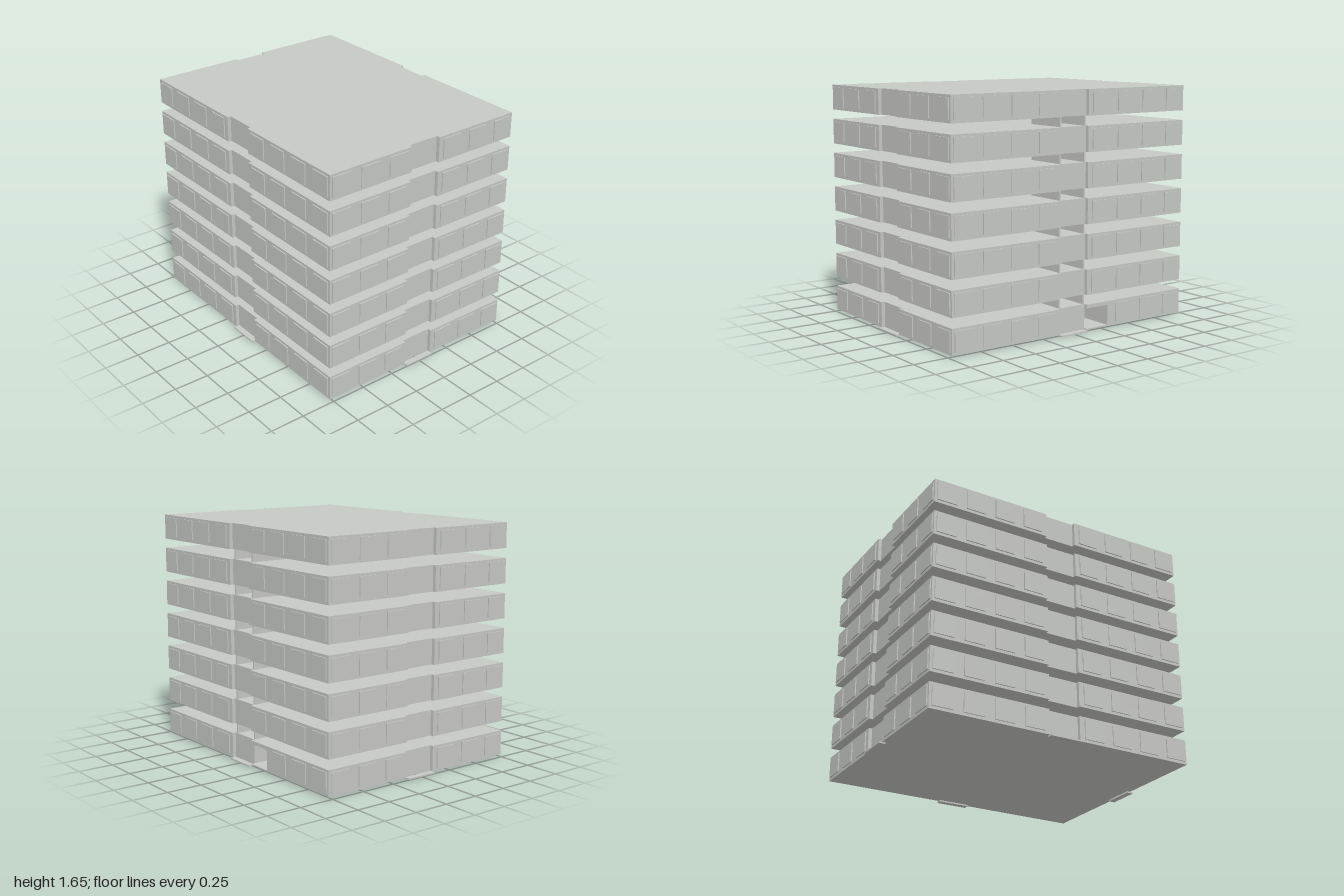
import * as THREE from 'three';

const HX = 0.977, HZ = 0.765;      // floor plate half sizes
const CUT = 0.115, DEPTH = 0.025;  // recess half width and depth
const PITCH = 0.2433, BAND = 0.176, BASE = 0.01, FLOORS = 7;

export function createModel() {
  const model = new THREE.Group();
  const concrete = new THREE.MeshStandardMaterial({ color: 0xc6c8c4 });
  concrete.name = 'paleConcrete';

  function box(name, x0, x1, y0, y1, z0, z1, parent = model) {
    const mesh = new THREE.Mesh(new THREE.BoxGeometry(x1 - x0, y1 - y0, z1 - z0), concrete);
    mesh.position.set((x0 + x1) / 2, (y0 + y1) / 2, (z0 + z1) / 2);
    mesh.name = name;
    parent.add(mesh);
  }

  // Floor outline with a shallow recess in the middle of each side
  function outline(niche) {
    const x = HX, z = HZ, c = CUT, xi = HX - DEPTH, zi = HZ - DEPTH;
    const back = niche
      ? [[c, z], [c, zi], [-c, zi], [-c, 0.5], [-0.3, 0.5], [-0.3, z]]
      : [[c, z], [c, zi], [-c, zi], [-c, z]];
    return new THREE.Shape([
      [-x, -z], [-c, -z], [-c, -zi], [c, -zi], [c, -z],
      [x, -z], [x, -c], [xi, -c], [xi, c], [x, c], [x, z],
      ...back, [-x, z], [-x, c], [-xi, c], [-xi, -c], [-x, -c],
    ].map(([a, b]) => new THREE.Vector2(a, b)));
  }

  function slab(name, y, height, parent, niche = false) {
    const geo = new THREE.ExtrudeGeometry(outline(niche), { depth: height, bevelEnabled: false });
    geo.rotateX(-Math.PI / 2);
    const mesh = new THREE.Mesh(geo, concrete);
    mesh.position.y = y;
    mesh.name = name;
    parent.add(mesh);
  }

  const w = 0.073, out = 0.008;
  for (let i = 0; i < FLOORS; i++) {
    const y = BASE + i * PITCH;
    const storey = new THREE.Group();
    storey.name = 'storey' + (i + 1);
    model.add(storey);

    // The ground storey has a doorway niche beside the rear recess
    if (i === 0) {
      slab('groundFloor', y, 0.008, storey);
      slab('groundWalls', y + 0.008, 0.142, storey, true);
      slab('groundCeiling', y + 0.15, BAND - 0.15, storey);
    } else {
      slab('floorBand', y, BAND, storey);
    }

    // Raised window panels
    const p0 = y + 0.02, p1 = y + 0.158;
    for (const s of [-1, 1]) {
      for (const cx of [0.225, 0.445, 0.665, 0.885]) {
        const x = s * cx;
        box('frontPanel', x - w, x + w, p0, p1, HZ, HZ + out, storey);
        if (i > 0 || s > 0 || cx > 0.3)
          box('backPanel', x - w, x + w, p0, p1, -HZ - out, -HZ, storey);
      }
      for (const cz of [0.225, 0.45, 0.675]) {
        const z = s * cz;
        box('leftPanel', HX, HX + out, p0, p1, z - w, z + w, storey);
        box('rightPanel', -HX - out, -HX, p0, p1, z - w, z + w, storey);
      }
    }

    // Stair shaft, open to the back, joining this storey to the next
    if (i < FLOORS - 1) {
      const g0 = y + BAND, g1 = y + PITCH;
      box('shaftLeftWall', 0.093, 0.105, g0, g1, -0.735, -0.43, storey);
      box('shaftRightWall', -0.115, -0.103, g0, g1, -0.735, -0.43, storey);
      box('shaftFrontWall', -0.103, 0.093, g0, g1, -0.442, -0.43, storey);
    }
  }

  // Thin doorsteps below the four recesses
  for (const s of [-1, 1]) {
    const z = s * 0.762, x = s * 0.978;
    box('doorstep', -CUT, CUT, 0, BASE, z - 0.022, z + 0.022);
    box('sideDoorstep', x - 0.022, x + 0.022, 0, BASE, -CUT, CUT);
  }
  return model;
}
